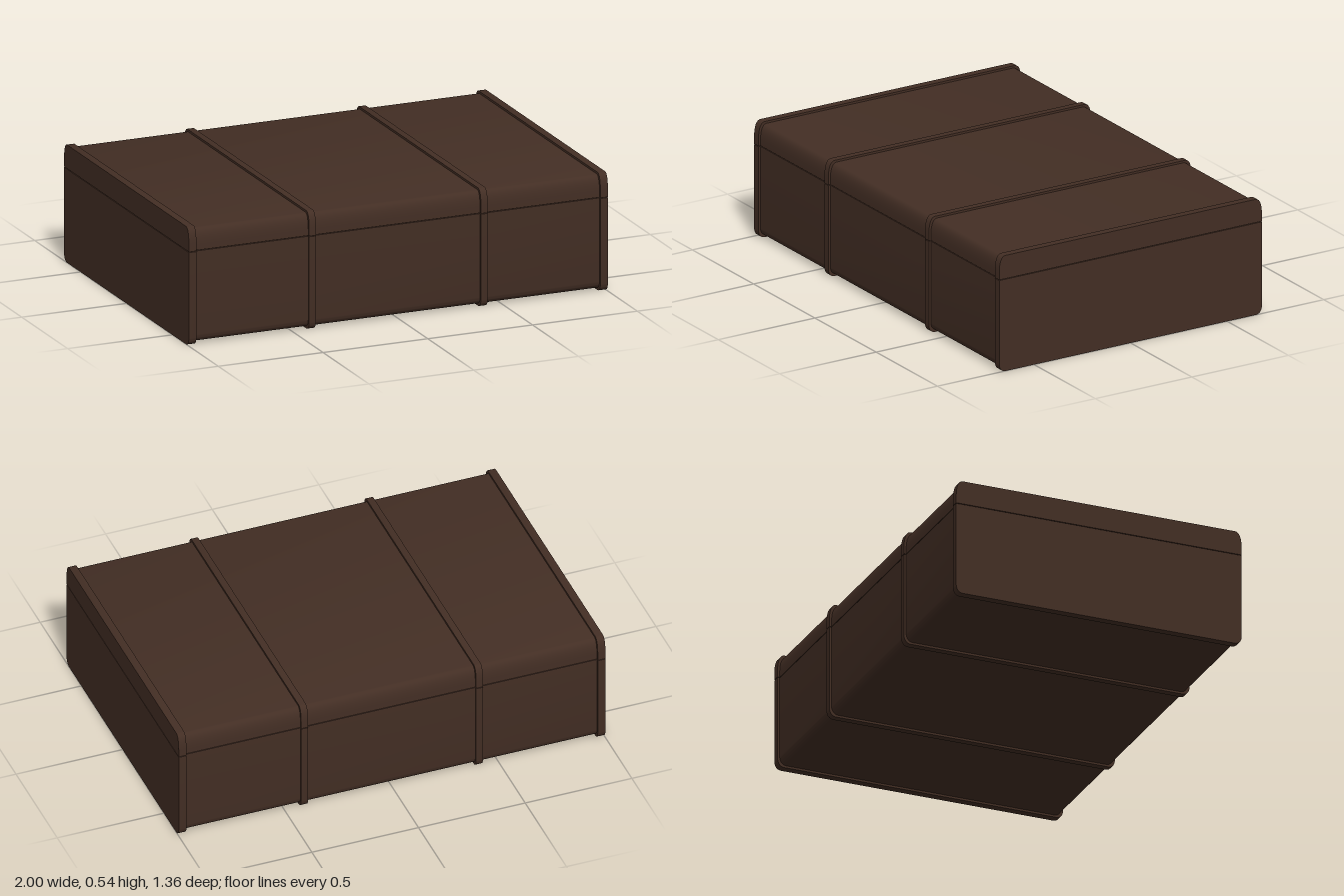
import * as THREE from 'three';
import { toCreasedNormals } from 'three/addons/utils/BufferGeometryUtils.js';

const SEAM = 0.43, GAP = 0.003;

// Side profile of the lower tray, grown outward by g
function traySection(g) {
  const z = 0.67 + g, y = 0.01 - g, top = SEAM - GAP / 2;
  const s = new THREE.Shape();
  s.moveTo(-z, top);
  s.lineTo(-z, y + 0.035);
  s.quadraticCurveTo(-z + 0.003, y + 0.003, -z + 0.03, y);
  s.lineTo(z - 0.03, y);
  s.quadraticCurveTo(z - 0.003, y + 0.003, z, y + 0.035);
  s.lineTo(z, top);
  s.closePath();
  return s;
}

// Side profile of the lid with its rounded upper edges
function lidSection(g) {
  const z = 0.67 + g, y = 0.53 + g, bottom = SEAM + GAP / 2;
  const s = new THREE.Shape();
  s.moveTo(-z, bottom);
  s.lineTo(z, bottom);
  s.lineTo(z, y - 0.07);
  s.quadraticCurveTo(z - 0.002, y - 0.004, z - 0.03, y);
  s.lineTo(-z + 0.03, y);
  s.quadraticCurveTo(-z + 0.002, y - 0.004, -z, y - 0.07);
  s.closePath();
  return s;
}

// Extrudes a profile along x, centred on x
function slab(shape, x, width) {
  const geo = new THREE.ExtrudeGeometry(shape, { depth: width, bevelEnabled: false, curveSegments: 8 });
  geo.translate(0, 0, -width / 2);
  geo.rotateY(Math.PI / 2);
  geo.translate(x, 0, 0);
  return toCreasedNormals(geo, 0.6);
}

export function createModel() {
  const group = new THREE.Group();
  const leather = new THREE.MeshStandardMaterial({ color: 0x432e24 });
  leather.name = 'dark brown leather';
  const add = (name, geo) => {
    const mesh = new THREE.Mesh(geo, leather);
    mesh.name = name;
    group.add(mesh);
  };

  // Two halves of the case and the recessed lip between them
  add('tray', slab(traySection(0), 0, 1.99));
  add('lid', slab(lidSection(0), 0, 1.99));
  const lip = new THREE.BoxGeometry(1.97, 0.04, 1.32);
  lip.translate(0, SEAM, 0);
  add('seamLip', lip);

  // Raised bands: one at each end and two across the middle
  for (const side of [-1, 1]) {
    for (const [name, x, width] of [['endBand', 0.982, 0.036], ['strap', 0.41, 0.032]]) {
      add(name + 'Tray', slab(traySection(0.01), side * x, width));
      add(name + 'Lid', slab(lidSection(0.01), side * x, width));
    }
  }
  return group;
}
